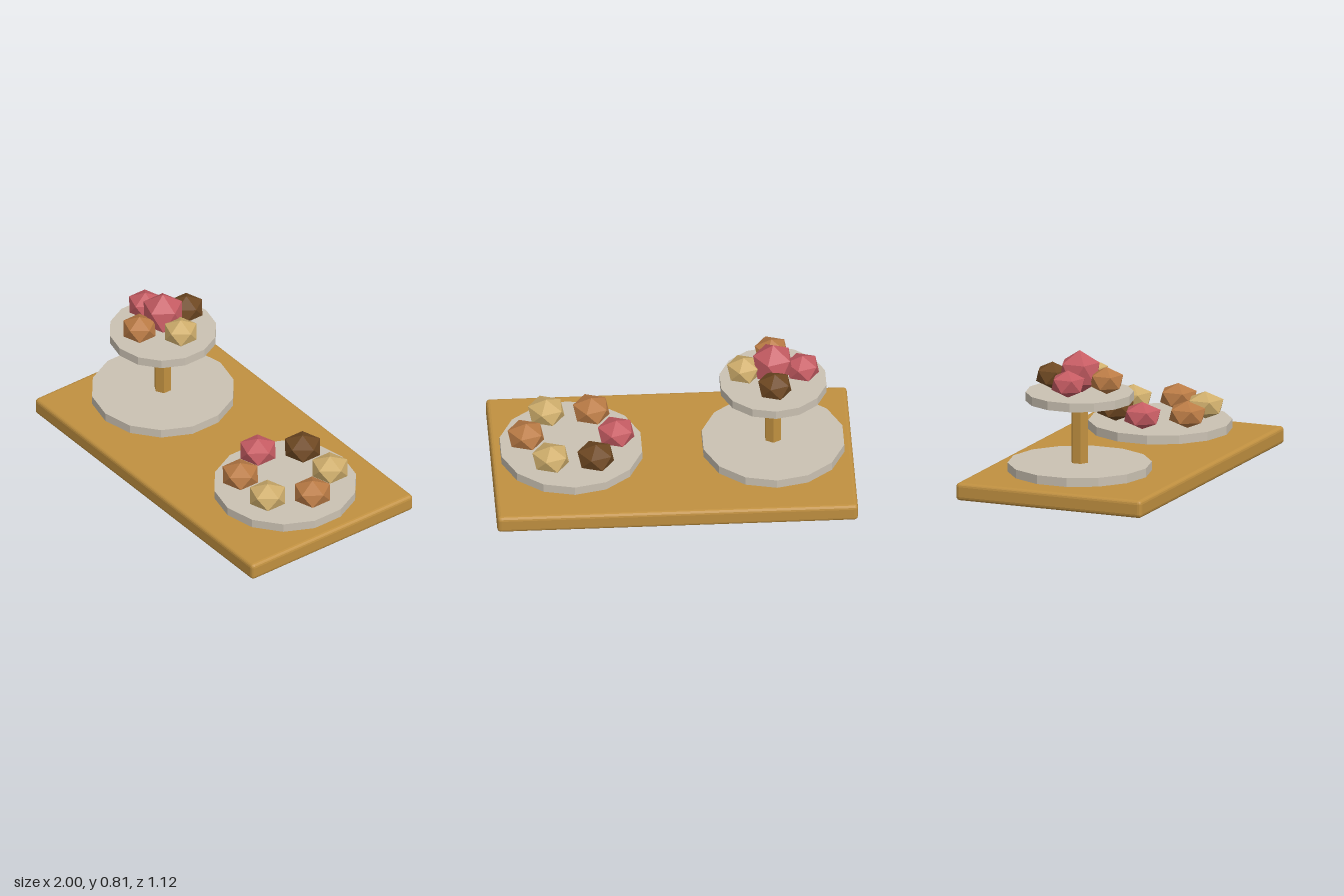
import * as THREE from 'three';
import { RoundedBoxGeometry } from 'three/addons/geometries/RoundedBoxGeometry.js';

export function createModel() {
  const model = new THREE.Group();
  model.name = 'pastryDisplay';

  const material = (name, color, flatShading = true) =>
    new THREE.MeshStandardMaterial({ name, color, flatShading });
  const wood = material('wood', 0xc09040);
  const boardWood = wood;
  const ceramic = material('ceramic', 0xcac1b2);
  const berry = material('berry', 0xc65c63);
  const caramel = material('caramel', 0xba7b45);
  const vanilla = material('vanilla', 0xcfae6c);
  const chocolate = material('chocolate', 0x6e4822);

  const add = (name, geometry, mat, x, y, z) => {
    const mesh = new THREE.Mesh(geometry, mat);
    mesh.name = name;
    mesh.position.set(x, y, z);
    model.add(mesh);
    return mesh;
  };

  // Serving board with softened edges
  add('board', new RoundedBoxGeometry(2, 0.1, 1.12, 2, 0.022), boardWood, 0, 0.05, 0);

  // Plates and the post of the two-tier stand
  const side = 0.56;
  const plate = (name, radius, x, y) =>
    add(name, new THREE.CylinderGeometry(radius, radius, 0.05, 14), ceramic, x, y, 0);
  plate('lowerStandPlate', 0.4, -side, 0.153);
  plate('upperStandPlate', 0.3, -side, 0.554);
  plate('servingPlate', 0.4, side, 0.153);
  add('standPost', new THREE.CylinderGeometry(0.05, 0.05, 0.37, 6), wood, -side, 0.352, 0);

  // Unit pastry: icosahedron turned to stand on a vertex
  const ball = new THREE.IcosahedronGeometry(1, 0);
  ball.rotateZ(-Math.atan(2 / (1 + Math.sqrt(5))));
  const pastry = (name, mat, radius, height, x, y, z) =>
    add(name, ball, mat, x, y, z).scale.set(radius, height, radius);

  // Ring of pastries, starting at +x and turning toward +z
  const ring = (name, mats, ringRadius, radius, x, y) =>
    mats.forEach((mat, i) => {
      const a = (i / mats.length) * Math.PI * 2;
      pastry(name, mat, radius, 0.077,
        x + ringRadius * Math.cos(a), y, ringRadius * Math.sin(a));
    });
  ring('platePastry', [caramel, vanilla, caramel, berry, chocolate, vanilla], 0.25, 0.1136, side, 0.254);
  ring('standPastry', [vanilla, caramel, berry, chocolate], 0.163, 0.103, -side, 0.656);
  pastry('centrePastry', berry, 0.124, 0.124, -side, 0.69, 0);

  return model;
}
